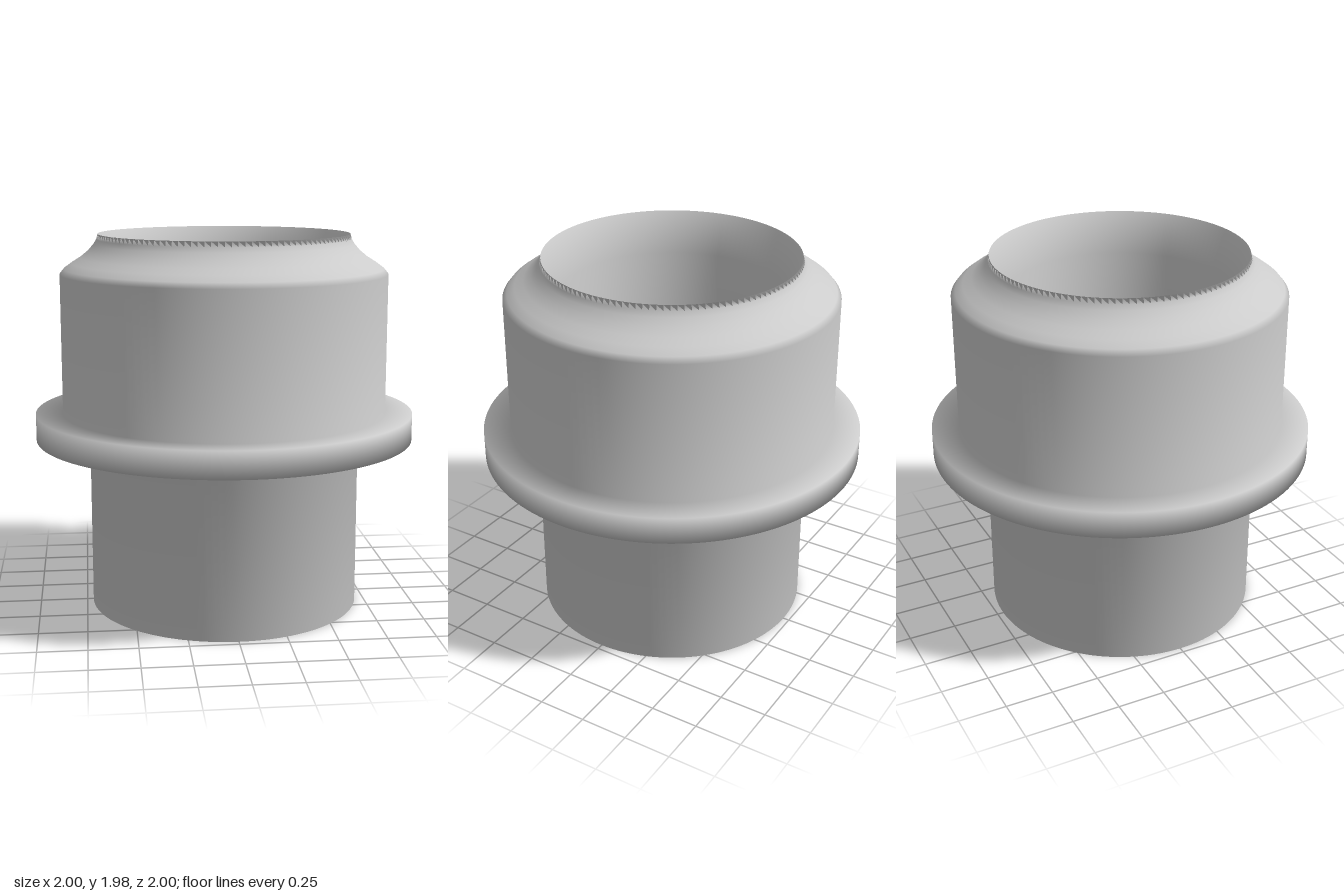
import * as THREE from 'three';

export function createModel() {
  const group = new THREE.Group();
  const material = new THREE.MeshStandardMaterial({ color: 0xcccccc });

  // Closed half section, as [radius, height], running from mid bore around and back
  const section = [
    [0.57, 0.9],
    [0.57, 0],       // bottom opening
    [0.717, 0],
    [0.717, 0.905],  // lower tube
    [1, 0.905],      // flange
    [1, 1.045],
    [0.858, 1.045],
    [0.858, 1.775],  // wide upper body
    [0.835, 1.803],  // curved shoulder
    [0.795, 1.832],
    [0.75, 1.86],
    [0.71, 1.893],
    [0.68, 1.928],
    [0.665, 1.953],
    [0.658, 1.98],   // sharp mouth rim
    [0.57, 1.77],    // funnel into the bore
    [0.57, 0.9],
  ].map(([r, y]) => new THREE.Vector2(r, y));

  const fitting = new THREE.Mesh(new THREE.LatheGeometry(section, 128), material);
  fitting.name = 'flangedTube';
  group.add(fitting);
  return group;
}
